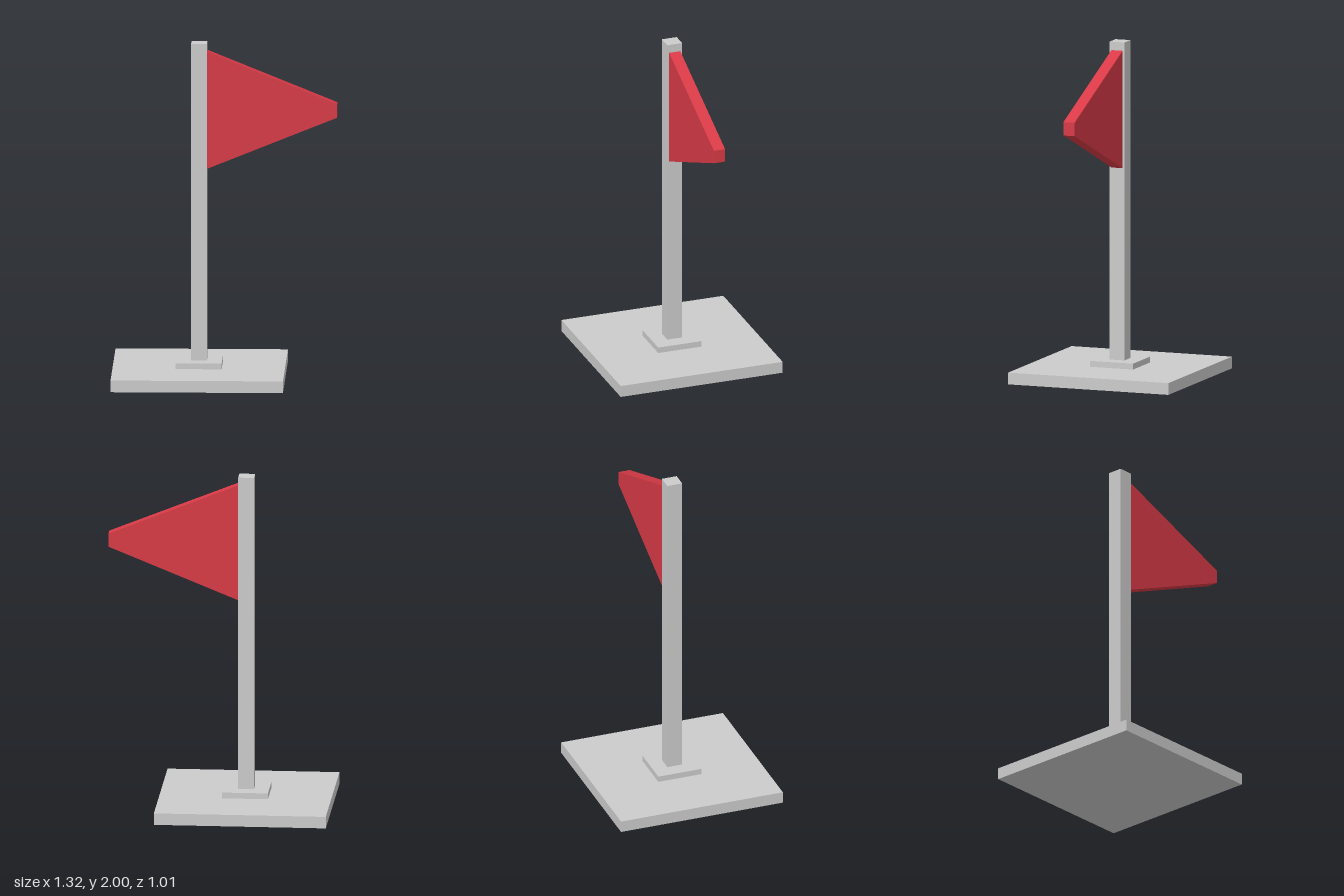
import * as THREE from 'three';

const POLE_X = -0.153;

export function createModel() {
  const model = new THREE.Group();
  const grey = new THREE.MeshStandardMaterial({ color: 0xcccccc, flatShading: true });
  const red = new THREE.MeshStandardMaterial({ color: 0xd83a46, flatShading: true });

  // Square block centred on the pole axis, spanning two heights
  const addBlock = (name, width, bottom, top) => {
    const mesh = new THREE.Mesh(new THREE.BoxGeometry(width, top - bottom, width), grey);
    mesh.name = name;
    mesh.position.set(POLE_X, (bottom + top) / 2, 0);
    model.add(mesh);
  };
  addBlock('base', 1.014, 0, 0.07);
  addBlock('footPlate', 0.272, 0.07, 0.105);
  addBlock('pole', 0.093, 0.105, 2);

  // Tapered pennant with a blunt tip
  const outline = new THREE.Shape([
    new THREE.Vector2(-0.1065, 1.25),
    new THREE.Vector2(0.659, 1.56),
    new THREE.Vector2(0.659, 1.64),
    new THREE.Vector2(-0.1065, 1.95),
  ]);
  const thickness = 0.07;
  const flagGeometry = new THREE.ExtrudeGeometry(outline, { depth: thickness, bevelEnabled: false });
  flagGeometry.translate(0, 0, -thickness / 2);
  const flag = new THREE.Mesh(flagGeometry, red);
  flag.name = 'flag';
  model.add(flag);

  return model;
}
